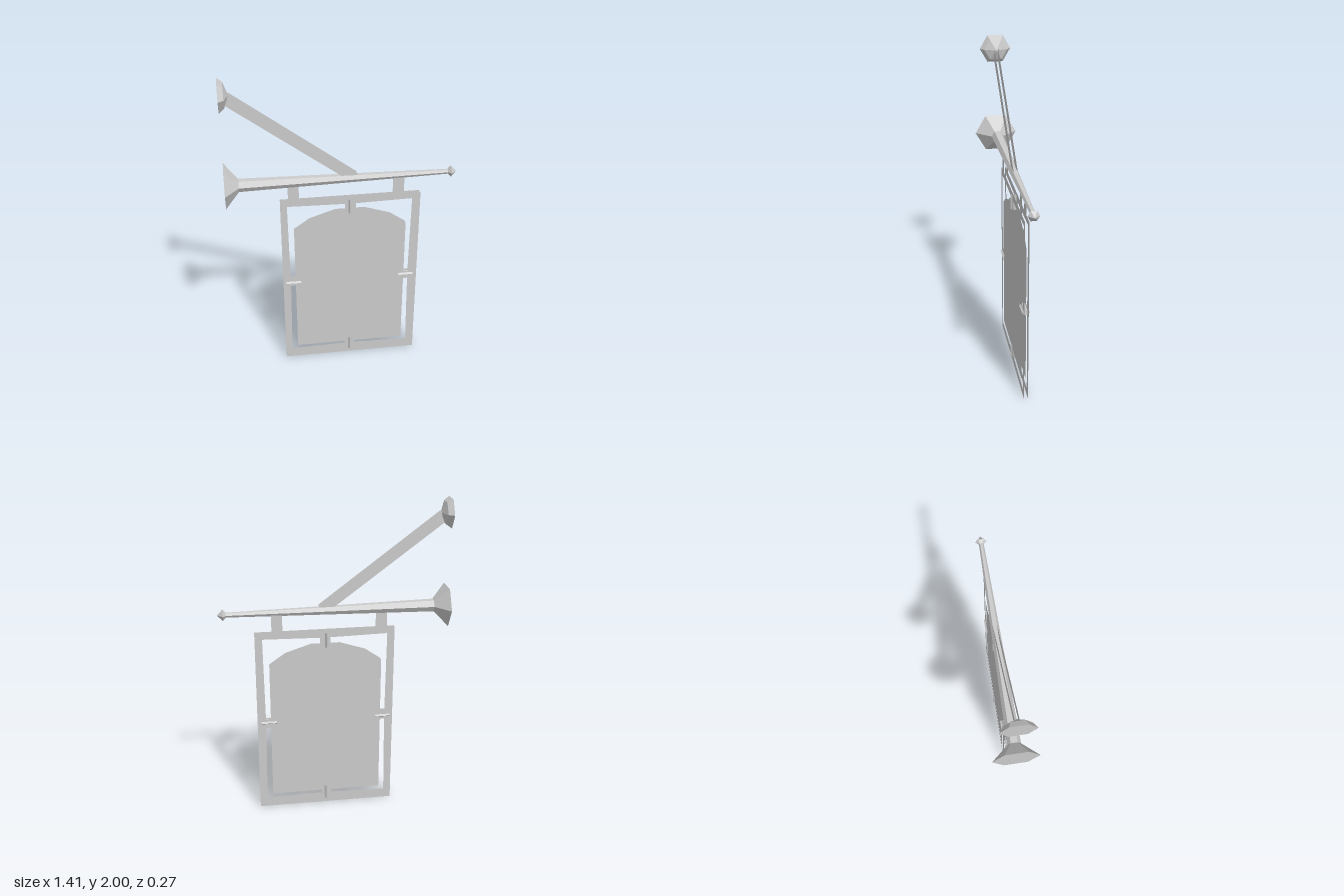
import * as THREE from 'three';

export function createModel() {
  const root = new THREE.Group();
  const solid = new THREE.MeshStandardMaterial({ color: 0xcccccc, flatShading: true });
  const sheet = new THREE.MeshStandardMaterial({ color: 0xcccccc, flatShading: true, side: THREE.DoubleSide });
  const toVectors = (pts) => pts.map(([x, y]) => new THREE.Vector2(x, y));

  // Flat part made of a front and a back sheet with open edges
  function plate(name, outline, hole) {
    const group = new THREE.Group();
    group.name = name;
    const shape = new THREE.Shape(toVectors(outline));
    if (hole) shape.holes.push(new THREE.Path(toVectors(hole)));
    const geometry = new THREE.ShapeGeometry(shape);
    for (const z of [0.0125, -0.0125]) {
      const mesh = new THREE.Mesh(geometry, sheet);
      mesh.name = z > 0 ? name + 'Front' : name + 'Back';
      mesh.position.z = z;
      group.add(mesh);
    }
    root.add(group);
  }
  const rect = (x0, y0, x1, y1) => [[x0, y0], [x1, y0], [x1, y1], [x0, y1]];

  // Six-sided turned part along x; profile points are [radius, x]
  function turned(name, y, profile) {
    const mesh = new THREE.Mesh(new THREE.LatheGeometry(toVectors(profile), 6), solid);
    mesh.name = name;
    mesh.rotation.z = -Math.PI / 2;
    mesh.position.y = y;
    root.add(mesh);
  }

  // Open diamond-section sleeve joining the panel to the frame
  function clip(name, x, y, length, width, sideways) {
    const mesh = new THREE.Mesh(new THREE.CylinderGeometry(1, 1, 1, 4, 1, true), sheet);
    mesh.name = name;
    mesh.scale.set(width / 2, length, 0.024);
    mesh.position.set(x, y, 0);
    if (sideways) mesh.rotation.z = Math.PI / 2;
    root.add(mesh);
  }

  // Tapered beam with flared wall mount and pointed finial
  turned('beam', 1.34, [[0, -0.703], [0.137, -0.703], [0.04, -0.62], [0.015, 0.65], [0.035, 0.668], [0, 0.703]]);
  // Upper wall mount and diagonal brace
  turned('braceMount', 1.915, [[0, -0.7], [0.1, -0.7], [0.075, -0.668], [0, -0.64]]);
  plate('brace', [[-0.675, 1.865], [0, 1.36], [0.02, 1.34], [0.09, 1.34], [0.09, 1.375], [-0.64, 1.925], [-0.67, 1.92]]);

  // Hangers between beam and frame
  plate('leftHanger', rect(0.315, 1.215, 0.38, 1.33));
  plate('rightHanger', rect(-0.33, 1.215, -0.265, 1.33));

  // Rectangular frame with slightly bowed inner edges
  plate('frame', rect(-0.38, 0, 0.485, 1.215), [
    [-0.34, 0.045], [0.05, 0.055], [0.44, 0.045], [0.432, 0.6],
    [0.44, 1.175], [0.05, 1.167], [-0.34, 1.175], [-0.333, 0.6],
  ]);

  // Arched sign panel
  plate('signPanel', [
    [-0.3, 0.09], [0.4, 0.09], [0.4, 1.0], [0.3, 1.07],
    [0.14, 1.122], [-0.04, 1.122], [-0.2, 1.07], [-0.3, 1.0],
  ]);

  // Tabs bridging the gap, each with its sleeve
  plate('topTab', rect(0.02, 1.122, 0.083, 1.168));
  plate('bottomTab', rect(0.02, 0.054, 0.075, 0.09));
  plate('rightTab', rect(-0.334, 0.585, -0.3, 0.645));
  plate('leftTab', rect(0.4, 0.575, 0.433, 0.632));
  clip('topClip', 0.045, 1.15, 0.095, 0.035);
  clip('bottomClip', 0.05, 0.075, 0.095, 0.045);
  clip('rightClip', -0.315, 0.61, 0.095, 0.035, true);
  clip('leftClip', 0.413, 0.61, 0.095, 0.035, true);

  return root;
}
